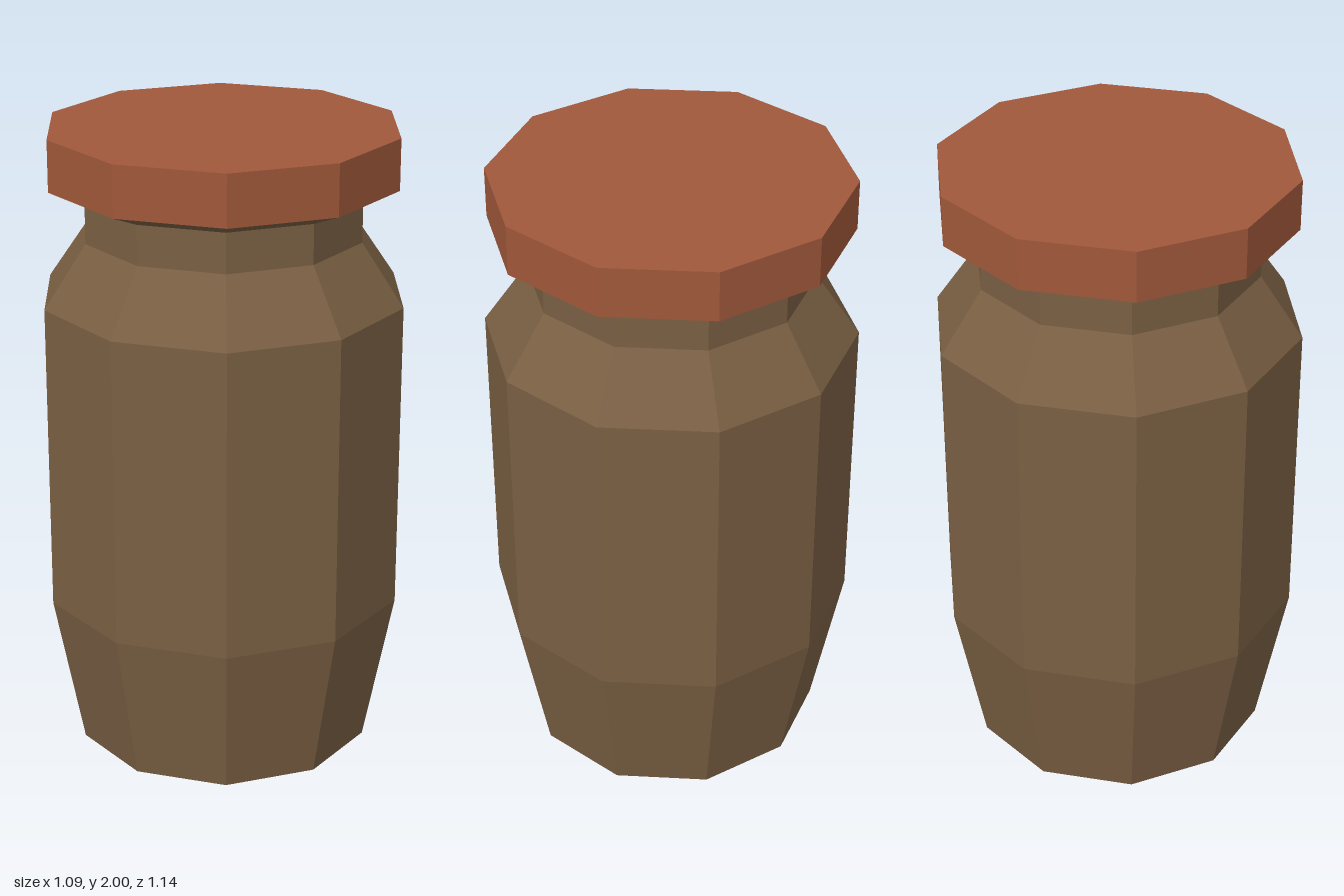
import * as THREE from 'three';

const SIDES = 10;

// Low-poly ring solid turned from [radius, height] pairs, listed bottom to top
function turned(name, color, profile) {
  const points = profile.map(([r, y]) => new THREE.Vector2(r, y));
  const material = new THREE.MeshStandardMaterial({ color, flatShading: true });
  const mesh = new THREE.Mesh(new THREE.LatheGeometry(points, SIDES), material);
  mesh.name = name;
  return mesh;
}

export function createModel() {
  const group = new THREE.Group();
  group.name = 'jar';

  // Tapered foot, straight belly, sloped shoulder, neck and flared rim
  group.add(turned('jarBody', 0x7a5f43, [
    [0, 0], [0.475, 0], [0.571, 0.495], [0.571, 1.475],
    [0.438, 1.67], [0.438, 1.795], [0.549, 1.84],
  ]));

  // Flat lid resting on the rim
  group.add(turned('lid', 0xa0583a, [
    [0.549, 1.84], [0.549, 2], [0, 2],
  ]));

  return group;
}
